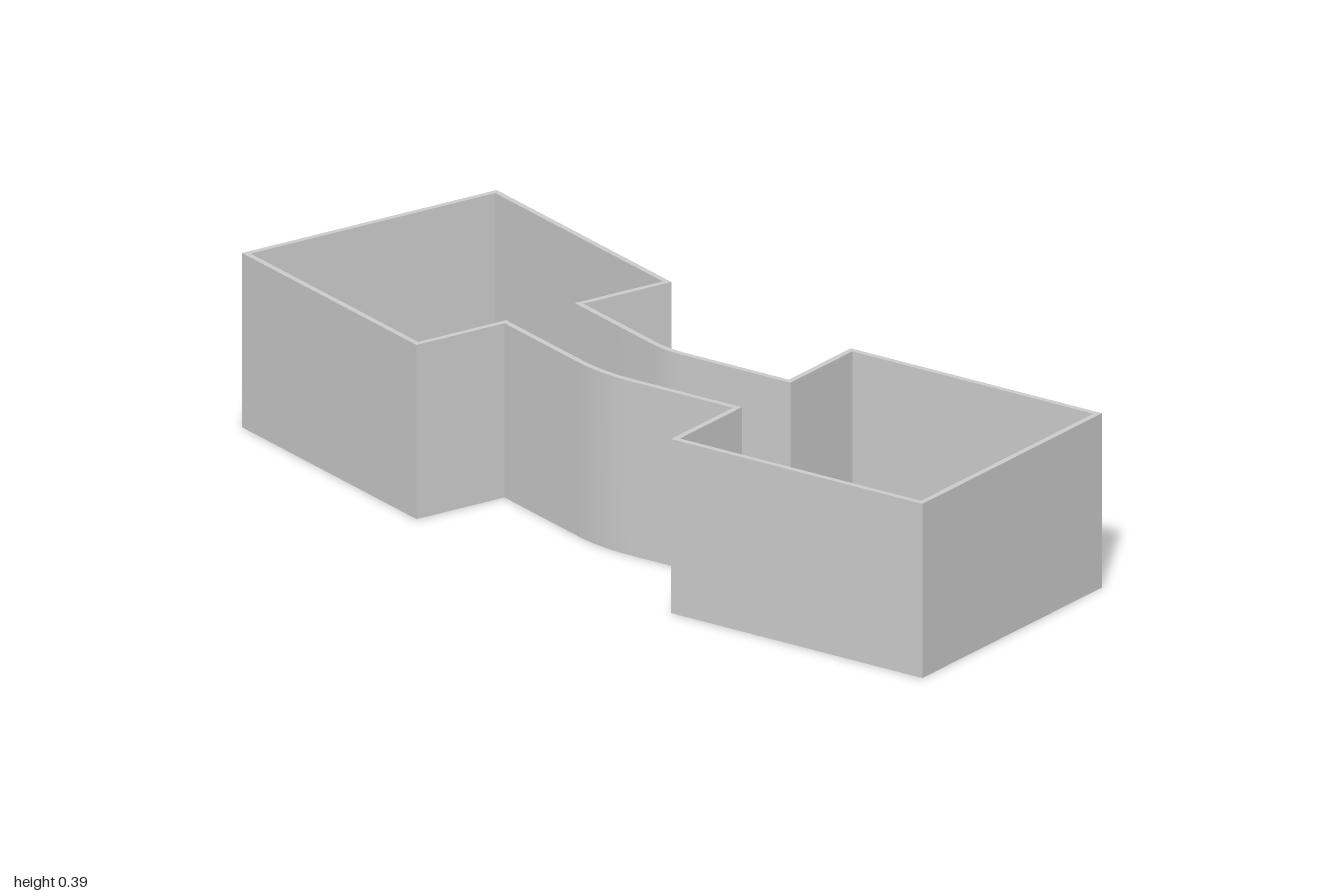
import * as THREE from 'three';
import { toCreasedNormals } from 'three/addons/utils/BufferGeometryUtils.js';

const HEIGHT = 0.39, WALL = 0.013;
const ROOM = 0.645, HALL = 0.2;            // outer widths of the rooms and the corridor
const CX = -0.1575;                        // centre line of the front room
const BEND = THREE.MathUtils.degToRad(20), RADIUS = 0.35, BEND_Y = -0.09;
const RUN = 0.27;                          // straight corridor between the bend and the back room

// Plan outline of both rooms and the bent corridor, moved inwards by t (plan y = -z)
function outline(t) {
  const h = ROOM / 2 - t, w = HALL / 2 - t;
  const near = -1 + t, far = -1 + ROOM - t;
  const point = (x, y) => new THREE.Vector2(x, y);

  // Corridor side at a signed offset from its centre line, along the bend
  const arc = (offset) => Array.from({ length: 13 }, (_, i) => {
    const a = BEND * i / 12, r = RADIUS - offset;
    return point(CX + RADIUS - r * Math.cos(a), BEND_Y + r * Math.sin(a));
  });

  // Turned frame of the back room: s to the side, d along the corridor
  const sin = Math.sin(BEND), cos = Math.cos(BEND);
  const turned = (s, d) => point(
    CX + RADIUS * (1 - cos) + s * cos + d * sin,
    BEND_Y + RADIUS * sin - s * sin + d * cos);
  const door = RUN + t, back = RUN + ROOM - t;

  return [
    point(CX - h, near), point(CX + h, near), point(CX + h, far), point(CX + w, far),
    ...arc(w),
    turned(w, door), turned(h, door), turned(h, back),
    turned(-h, back), turned(-h, door), turned(-w, door),
    ...arc(-w).reverse(),
    point(CX - w, far), point(CX - h, far),
  ];
}

export function createModel() {
  const group = new THREE.Group();
  group.name = 'twoRoomsWithCorridor';

  // Thin continuous wall, open at top and bottom
  const shape = new THREE.Shape(outline(0));
  shape.holes.push(new THREE.Path(outline(WALL)));
  const extruded = new THREE.ExtrudeGeometry(shape, { depth: HEIGHT, bevelEnabled: false });
  extruded.rotateX(-Math.PI / 2);

  const walls = new THREE.Mesh(
    toCreasedNormals(extruded, 0.5),
    new THREE.MeshStandardMaterial({ color: 0xcccccc }));
  walls.name = 'walls';
  group.add(walls);
  return group;
}
